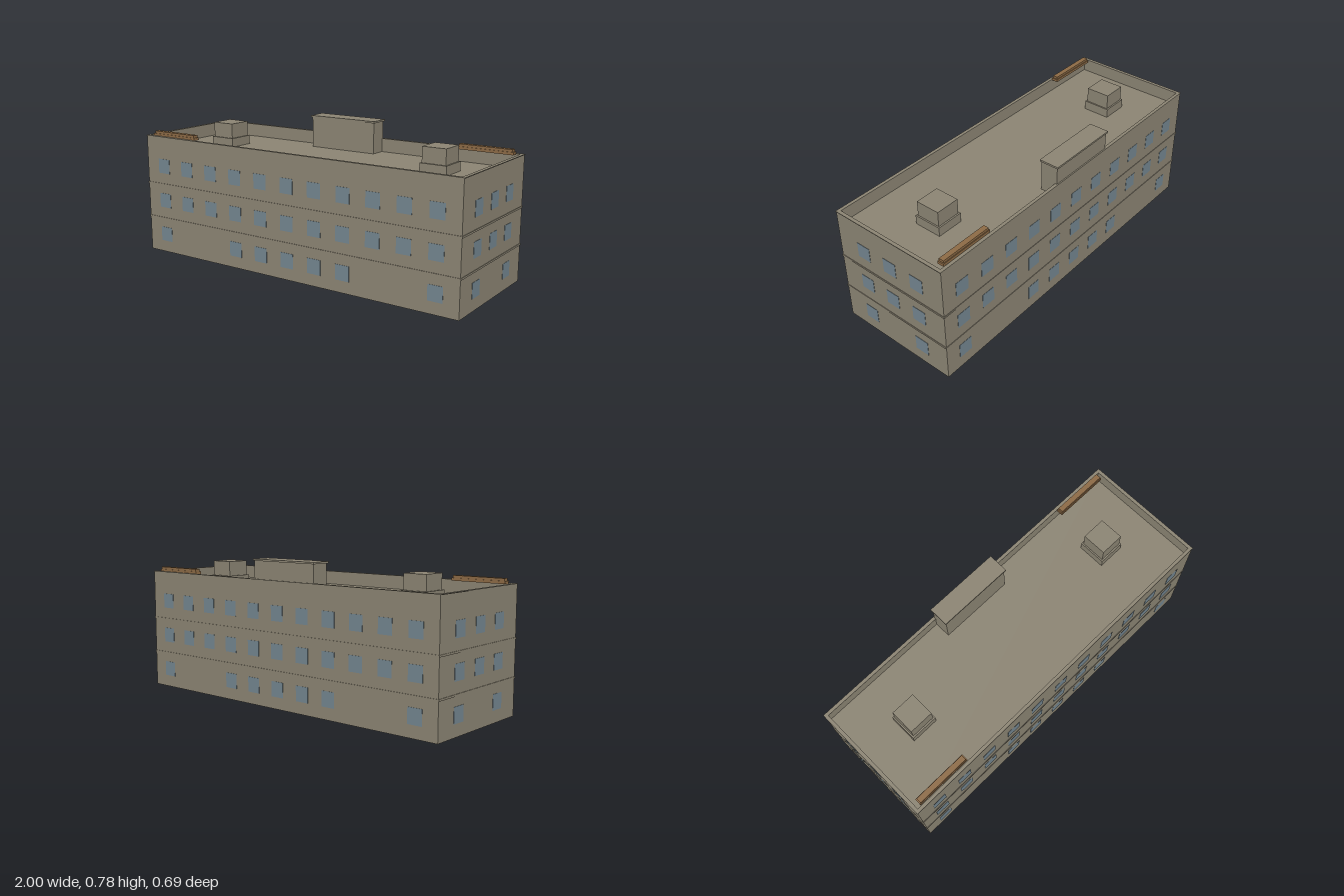
import * as THREE from 'three';

const wall = new THREE.MeshStandardMaterial({ color: 0x8b8473 });
wall.name = 'stone wall';
const glass = new THREE.MeshStandardMaterial({ color: 0x73858f });
glass.name = 'window glass';
const wood = new THREE.MeshStandardMaterial({ color: 0x8c6a45 });
wood.name = 'brown timber';

const HX = 0.997, HZ = 0.343, ROOF = 0.6, TOP = 0.675;

// Box given by its bounds
function box(parent, name, mat, x0, x1, y0, y1, z0, z1) {
  const m = new THREE.Mesh(new THREE.BoxGeometry(x1 - x0, y1 - y0, z1 - z0), mat);
  m.position.set((x0 + x1) / 2, (y0 + y1) / 2, (z0 + z1) / 2);
  m.name = name;
  parent.add(m);
  return m;
}

// Rectangular ring with an open middle
function ring(parent, name, hx, hz, ix, iz, y0, y1) {
  const rect = (C, a, b) => {
    const p = new C();
    p.moveTo(-a, -b); p.lineTo(a, -b); p.lineTo(a, b); p.lineTo(-a, b); p.closePath();
    return p;
  };
  const shape = rect(THREE.Shape, hx, hz);
  shape.holes.push(rect(THREE.Path, ix, iz));
  const g = new THREE.ExtrudeGeometry(shape, { depth: y1 - y0, bevelEnabled: false });
  g.rotateX(-Math.PI / 2);
  const m = new THREE.Mesh(g, wall);
  m.position.y = y0;
  m.name = name;
  parent.add(m);
}

export function createModel() {
  const model = new THREE.Group();
  model.name = 'building';

  // Main block, parapet and coping
  box(model, 'mainBlock', wall, -HX, HX, 0, ROOF, -HZ, HZ);
  ring(model, 'parapet', HX, HZ, 0.983, 0.329, ROOF, TOP - 0.004);
  ring(model, 'coping', 1, 0.345, 0.981, 0.327, TOP - 0.004, TOP);

  // Floor bands
  for (const y of [0.2, 0.4]) {
    box(model, 'floorBand', wall, -1, 1, y - 0.005, y + 0.005, -0.346, 0.346);
  }

  // Windows on all four sides, with gaps on the ground floor
  const windows = new THREE.Group();
  windows.name = 'windows';
  model.add(windows);
  const s = 0.041, t = 0.0015;
  for (let row = 0; row < 3; row++) {
    const y = 0.106 + row * 0.2;
    for (const side of [-1, 1]) {
      for (let i = 0; i < 11; i++) {
        if (row === 0 && [1, 2, 8, 9].includes(i)) continue;
        const x = (i - 5) * 0.174, z = side * HZ;
        box(windows, 'longSideWindow', glass, x - s, x + s, y - s, y + s, z - t, z + t);
      }
      for (let i = -1; i <= 1; i++) {
        if (row === 0 && i === 0) continue;
        const x = side * HX, z = i * 0.175;
        box(windows, 'endWindow', glass, x - t, x + t, y - s, y + s, z - s, z + s);
      }
    }
  }

  // Stair house with overhanging slab
  box(model, 'stairHouse', wall, -0.25, 0.163, ROOF, 0.771, -0.338, -0.24);
  box(model, 'stairHouseSlab', wall, -0.257, 0.169, 0.771, 0.781, -0.345, -0.233);

  // Roof units on plinths, and timber rails at opposite corners
  for (const side of [-1, 1]) {
    const unit = new THREE.Group();
    unit.name = 'roofUnit';
    unit.position.set(side * 0.685, 0, -0.026);
    box(unit, 'unitPlinth', wall, -0.075, 0.075, ROOF, 0.65, -0.077, 0.077);
    box(unit, 'unitBody', wall, -0.067, 0.067, 0.65, 0.733, -0.068, 0.068);
    model.add(unit);

    const rail = new THREE.Group();
    rail.name = 'timberRail';
    rail.position.set(side * 0.804, 0, side * -0.306);
    box(rail, 'railBase', wood, -0.155, 0.155, 0.672, 0.687, -0.0185, 0.0185);
    box(rail, 'railTop', wood, -0.149, 0.149, 0.687, 0.7, -0.0145, 0.0145);
    model.add(rail);
  }
  return model;
}
